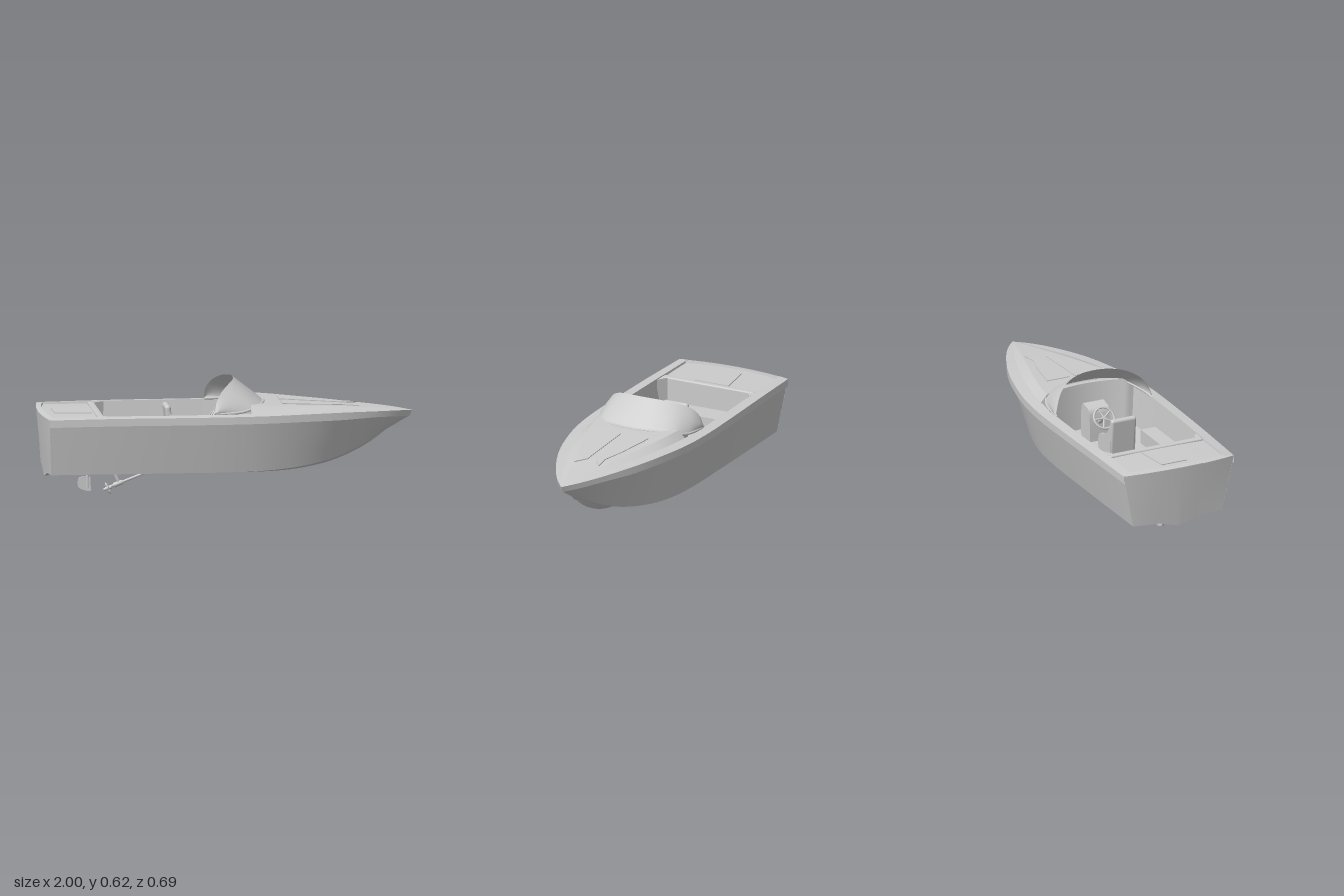
import * as THREE from 'three';
import { mergeGeometries } from 'three/addons/utils/BufferGeometryUtils.js';
import { RoundedBoxGeometry } from 'three/addons/geometries/RoundedBoxGeometry.js';

const V = (x, y, z) => new THREE.Vector3(x, y, z);
const lerp = THREE.MathUtils.lerp;
const mat = new THREE.MeshStandardMaterial({ color: 0xcccccc, side: THREE.DoubleSide });

// Smooth surface from a function of (u, v)
function sheet(f, nu = 48, nv = 1) {
  const pos = [], idx = [];
  for (let i = 0; i <= nu; i++) for (let j = 0; j <= nv; j++) pos.push(...f(i / nu, j / nv).toArray());
  for (let i = 0; i < nu; i++) for (let j = 0; j < nv; j++) {
    const a = i * (nv + 1) + j, b = a + nv + 1;
    idx.push(a, b, a + 1, b, b + 1, a + 1);
  }
  const g = new THREE.BufferGeometry();
  g.setAttribute('position', new THREE.Float32BufferAttribute(pos, 3));
  g.setIndex(idx);
  g.computeVertexNormals();
  return g;
}
const curve = pts => { const c = new THREE.CatmullRomCurve3(pts); return u => c.getPoint(u); };
const line = (xs, ys, zs) => curve(xs.map((x, i) => V(x, ys[i], zs[i])));
const flip = p => V(p.x, p.y, -p.z);
// Sheets ruled between neighbouring curves, on both sides of the boat
function strips(curves, u0 = 0, u1 = 1, n = 48) {
  const out = [];
  for (let k = 0; k + 1 < curves.length; k++) for (const s of [1, -1])
    out.push(sheet((u, v) => {
      const t = lerp(u0, u1, u), p = curves[k](t).lerp(curves[k + 1](t), v);
      return s > 0 ? p : flip(p);
    }, n, 3));
  return mergeGeometries(out);
}
// Plan outline (x, z) extruded upward
function slab(pts, h) {
  const s = pts instanceof THREE.Shape ? pts : new THREE.Shape(pts.map(p => new THREE.Vector2(p[0], -p[1])));
  return new THREE.ExtrudeGeometry(s, { depth: h, bevelEnabled: false, curveSegments: 12 }).rotateX(-Math.PI / 2);
}
// Side outline (x, y) extruded across the boat
const plate = (pts, w) => new THREE.ExtrudeGeometry(new THREE.Shape(new THREE.SplineCurve(
  pts.map(p => new THREE.Vector2(...p))).getPoints(30)), { depth: w, bevelEnabled: false }).translate(0, 0, -w / 2);
// Cylinder between two points
function rod(a, b, r, r2 = r) {
  const d = b.clone().sub(a), g = new THREE.CylinderGeometry(r2, r, d.length(), 16);
  g.applyQuaternion(new THREE.Quaternion().setFromUnitVectors(V(0, 1, 0), d.clone().normalize()));
  return g.translate(...a.clone().add(b).multiplyScalar(0.5).toArray());
}

export function createModel() {
  const boat = new THREE.Group();
  boat.name = 'speedboat';
  const add = (name, geo, parent = boat) => {
    const m = new THREE.Mesh(geo, mat);
    m.name = name;
    parent.add(m);
    return m;
  };

  // Lengthwise hull lines, stern to bow
  const X = [-0.97, -0.6, -0.3, 0, 0.2, 0.4, 0.6, 0.8, 0.92, 1];
  const topY = [0.456, 0.46, 0.46, 0.46, 0.46, 0.46, 0.457, 0.448, 0.44, 0.432];
  const topZ = [0.327, 0.337, 0.343, 0.343, 0.327, 0.287, 0.227, 0.137, 0.065, 0];
  const bowX = X.map((x, i) => i < 7 ? x : x - [0.005, 0.01, 0.015][i - 7]);
  const top = line(X, topY, topZ);
  const railLow = line(bowX, topY.map((y, i) => y - (i > 6 ? 0.032 : 0.04)), topZ);
  const sideTop = line(bowX, topY.map((y, i) => y - (i > 6 ? 0.03 : 0.038)), topZ.map(z => Math.max(0, z - 0.009)));
  const chine = line([-0.957, -0.6, -0.3, 0, 0.2, 0.4, 0.58, 0.72, 0.8, 0.86],
    [0.152, 0.152, 0.152, 0.152, 0.156, 0.172, 0.207, 0.26, 0.3, 0.33],
    [0.265, 0.266, 0.266, 0.262, 0.245, 0.2, 0.135, 0.07, 0.03, 0]);
  const keel = line([-0.965, -0.6, -0.3, 0, 0.2, 0.38, 0.56, 0.71, 0.795, 0.86],
    [0.112, 0.112, 0.112, 0.112, 0.114, 0.127, 0.165, 0.228, 0.28, 0.33], Array(10).fill(0));
  const strake = u => {
    const a = keel(u), b = chine(u);
    return V(lerp(a.x, b.x, 0.42), lerp(a.y, b.y, 0.8), b.z * 0.42);
  };
  add('hullBottom', strips([keel, strake, chine]));
  add('hullSides', strips([chine, sideTop]));
  add('rubRail', strips([sideTop, railLow, top]));

  // Curved transom and its top lip
  const bulge = t => 1 - t * t;
  add('transom', sheet((u, v) => {
    const t = u * 2 - 1, a = Math.abs(t);
    const yb = a < 0.42 ? lerp(0.112, 0.144, a / 0.42) : lerp(0.144, 0.152, (a - 0.42) / 0.58);
    return V(lerp(-0.957 - 0.01 * bulge(t), -0.97 - 0.03 * bulge(t), v), lerp(yb, 0.456, v), t * lerp(0.265, 0.327, v));
  }, 48, 6));
  const sternRows = [[-0.97, 0.456, 0.327], [-0.945, 0.463, 0.275], [-0.943, 0.452, 0.275], [-0.69, 0.452, 0.275]];
  add('sternDeck', mergeGeometries([0, 1, 2].map(k => sheet((u, v) => {
    const t = u * 2 - 1, [a, b] = [sternRows[k], sternRows[k + 1]];
    const back = r => r[0] > -0.8 ? 0 : 0.03 * bulge(t);
    return V(lerp(a[0] - back(a), b[0] - back(b), v), lerp(a[1], b[1], v) + 0.004 * bulge(t), t * lerp(a[2], b[2], v));
  }, 24, 4))));
  add('sternHatch', slab([[-0.92, -0.075], [-0.92, 0.075], [-0.72, 0.1], [-0.72, -0.1]], 0.009)).position.y = 0.452;

  // Gunwale, foredeck and cockpit lining
  const crease = line(X, [0.463, 0.465, 0.465, 0.466, 0.467, 0.466, 0.461, 0.45, 0.441, 0.432],
    [0.275, 0.28, 0.285, 0.283, 0.265, 0.225, 0.165, 0.09, 0.04, 0]);
  const deckY = [0.51, 0.51, 0.51, 0.51, 0.503, 0.49, 0.476, 0.457, 0.444, 0.433];
  const ridge = line(X, deckY, [0.25, 0.25, 0.25, 0.25, 0.225, 0.175, 0.115, 0.055, 0.02, 0]);
  const ridgeAft = 3.55 / 9, midAft = 3.8 / 9, sternU = 0.084;
  const deckAt = (u, v) => {
    const p = ridge(lerp(lerp(midAft, ridgeAft, v * v), 1, u));
    return V(p.x, p.y, p.z * v);
  };
  add('gunwale', strips([top, crease]));
  add('foredeckSides', strips([crease, ridge], ridgeAft, 1));
  add('foredeck', sheet((u, v) => {
    const t = v * 2 - 1, p = deckAt(u, Math.abs(t));
    return t < 0 ? flip(p) : p;
  }, 40, 16));
  add('dashboard', sheet((u, v) => {
    const t = (u * 2 - 1) * 1.12, a = Math.abs(t), p = deckAt(0, Math.min(a, 1));
    if (a > 1) p.lerp(crease(ridgeAft), (a - 1) / 0.12);
    return V(p.x - 0.02 * v, lerp(p.y, 0.24, v), (t < 0 ? -1 : 1) * p.z * lerp(1, 0.93, v));
  }, 40, 2));
  const drop = (y, k) => u => { const p = crease(u); return V(p.x, y, p.z * k); };
  add('sternDeckEdge', strips([crease, drop(0.45, 0.99)], 0, sternU, 8));
  add('cockpitLining', strips([crease, drop(0.25, 0.93)], sternU, ridgeAft, 24));
  add('cockpitFloor', new THREE.BoxGeometry(0.84, 0.012, 0.52).translate(-0.27, 0.248, 0));
  add('aftBulkhead', new RoundedBoxGeometry(0.035, 0.215, 0.55, 2, 0.008).translate(-0.69, 0.357, 0));
  for (const s of [1, -1]) {
    add('bulkheadCorner', slab([[-0.69, s * 0.275], [-0.69, s * 0.23], [-0.62, s * 0.275]], 0.21)).position.y = 0.252;
    // Foredeck panels lie on the sloping deck
    const panel = add('foredeckPanel', slab([[0, 0.15], [0.21, 0.105], [0.33, 0.066], [0.42, 0.073], [0.36, 0.025], [0, 0.015]]
      .map(([x, z]) => [x, s * z]), 0.01));
    panel.position.set(0.29, 0.492, 0);
    panel.rotation.z = -0.07;
  }

  // U-shaped bench
  const bench = new THREE.Shape();
  bench.moveTo(-0.17, 0.262).lineTo(-0.672, 0.262).lineTo(-0.672, -0.262).lineTo(-0.17, -0.262).lineTo(-0.17, -0.175);
  bench.lineTo(-0.45, -0.175).quadraticCurveTo(-0.54, -0.175, -0.54, -0.09).lineTo(-0.54, 0.09);
  bench.quadraticCurveTo(-0.54, 0.175, -0.45, 0.175).lineTo(-0.17, 0.175);
  add('bench', slab(bench, 0.08)).position.y = 0.252;

  // Driver's bucket seat
  const seat = new THREE.Group();
  seat.name = 'driverSeat';
  boat.add(seat);
  add('cushion', new RoundedBoxGeometry(0.13, 0.1, 0.12, 3, 0.015).translate(-0.24, 0.3, 0), seat);
  const back = add('backrest', new RoundedBoxGeometry(0.032, 0.235, 0.15, 4, 0.015), seat);
  back.position.set(-0.3, 0.37, 0);
  back.rotation.z = 0.12;
  for (const s of [1, -1])
    add('armrest', plate([[-0.3, 0.255], [-0.18, 0.255], [-0.17, 0.35], [-0.22, 0.375], [-0.27, 0.4], [-0.31, 0.45], [-0.3, 0.255]], 0.018)
      .translate(0, 0, s * 0.066), seat);

  // Console and steering wheel
  add('console', plate([[-0.04, 0.25], [0.06, 0.25], [0.06, 0.43], [0.01, 0.44], [-0.03, 0.41], [-0.04, 0.25]], 0.12));
  const wheel = new THREE.Group();
  wheel.name = 'steeringWheel';
  wheel.position.set(-0.085, 0.4, 0);
  wheel.quaternion.setFromUnitVectors(V(0, 0, 1), V(-0.8, 0.6, 0));
  boat.add(wheel);
  add('rim', new THREE.TorusGeometry(0.058, 0.006, 10, 32), wheel);
  add('hub', rod(V(0, 0, -0.09), V(0, 0, 0.004), 0.012), wheel);
  for (let i = 0; i < 5; i++) {
    const a = i * Math.PI * 0.4;
    add('spoke', rod(V(0, 0, 0), V(Math.cos(a) * 0.058, Math.sin(a) * 0.058, 0), 0.005), wheel);
  }

  // Wraparound windshield
  const wrap = half => curve([...half, ...half.slice(0, -1).reverse().map(flip)]);
  const base = wrap([V(-0.08, 0.468, 0.283), V(-0.01, 0.47, 0.281), V(0.07, 0.475, 0.265), V(0.14, 0.492, 0.222), V(0.185, 0.503, 0.13), V(0.2, 0.503, 0)]);
  const edge = wrap([V(-0.082, 0.478, 0.282), V(-0.075, 0.525, 0.27), V(-0.048, 0.573, 0.238), V(-0.005, 0.608, 0.175), V(0.03, 0.624, 0.09), V(0.04, 0.628, 0)]);
  add('windshield', sheet((u, v) => {
    const p = base(u).lerp(edge(u), v);
    p.z *= 1 + 0.03 * Math.sin(Math.PI * v);
    return p;
  }, 64, 10));
  const path = new THREE.CatmullRomCurve3(Array.from({ length: 33 }, (_, i) => base(i / 32)));
  add('windshieldFrame', new THREE.TubeGeometry(path, 64, 0.007, 8));

  // Propeller shaft, strut, propeller and rudder
  const tip = V(-0.64, 0.035, 0), root = V(-0.4, 0.128, 0);
  add('propellerShaft', rod(tip, root, 0.007));
  add('shaftStrut', rod(V(-0.565, 0.062, 0), V(-0.595, 0.13, 0), 0.009));
  add('shaftBearing', rod(V(-0.595, 0.052, 0), V(-0.55, 0.07, 0), 0.013));
  const prop = new THREE.Group();
  prop.name = 'propeller';
  prop.position.set(-0.625, 0.038, 0);
  prop.rotation.z = 0.37;
  boat.add(prop);
  add('hub', rod(V(0.018, 0, 0), V(-0.025, 0, 0), 0.011, 0.006), prop);
  for (let i = 0; i < 3; i++) {
    const blade = new THREE.SphereGeometry(1, 16, 10).scale(0.004, 0.015, 0.013);
    add('blade', blade.rotateY(0.6).translate(0, -0.021, 0).rotateX(0.3 + i * Math.PI * 2 / 3), prop);
  }
  add('rudder', plate([[-0.72, 0.1], [-0.775, 0.098], [-0.787, 0.06], [-0.77, 0.036], [-0.72, 0.025], [-0.718, 0.06], [-0.72, 0.1]], 0.01));
  add('rudderPost', rod(V(-0.735, 0.04, 0), V(-0.735, 0.13, 0), 0.008));
  return boat;
}
